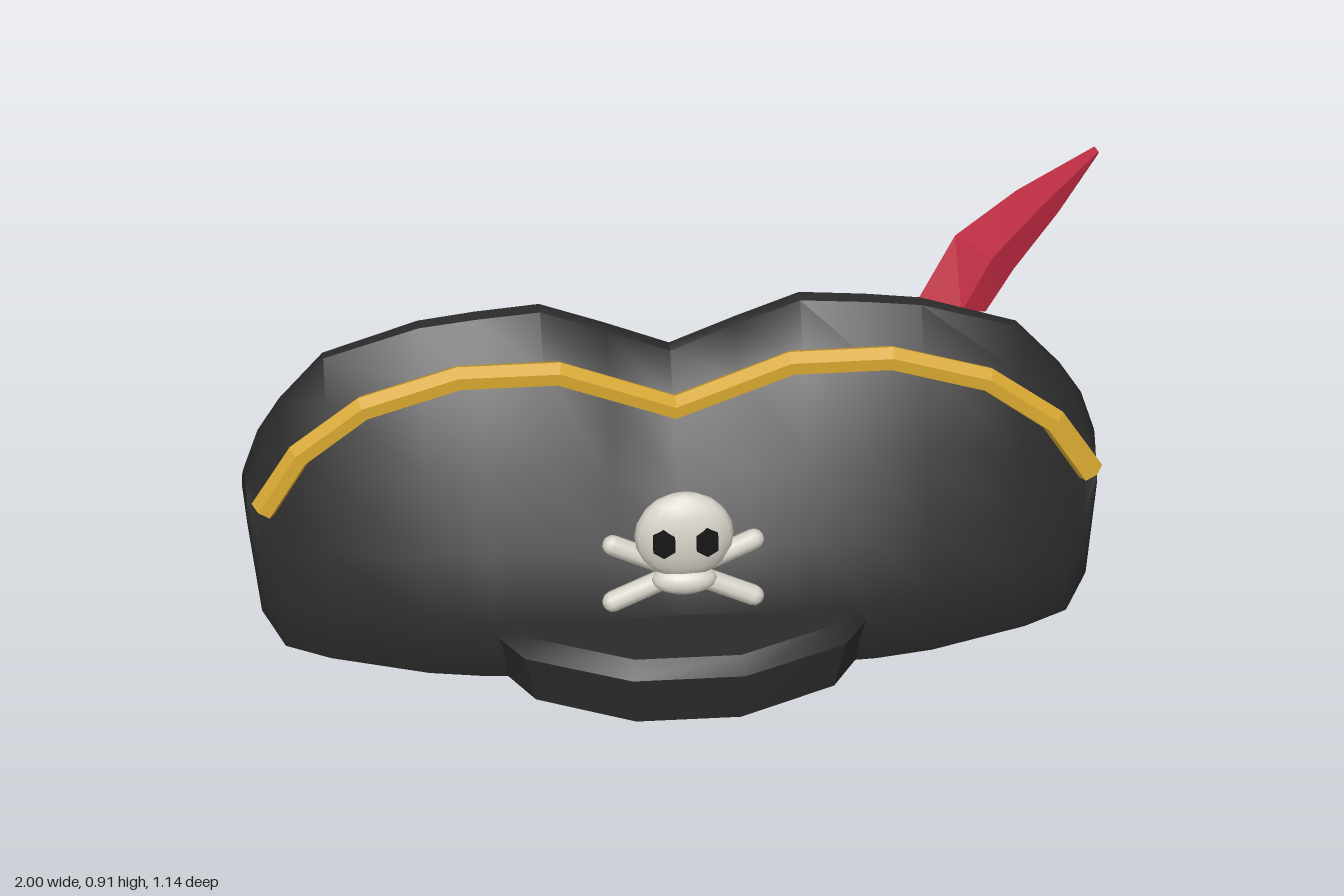
import * as THREE from 'three';
import { toCreasedNormals } from 'three/addons/utils/BufferGeometryUtils.js';

const mat = (name, color) => {
  const m = new THREE.MeshStandardMaterial({ color });
  m.name = name;
  return m;
};

// Skin equal-length rings of [x, y, z] points, cap both ends, face outwards
function loft(rings, crease) {
  const n = rings[0].length, pos = rings.flat(2), idx = [];
  rings.forEach((ring, i) => {
    if (i === rings.length - 1) return;
    for (let j = 0; j < n; j++) {
      const a = i * n + j, b = i * n + (j + 1) % n;
      idx.push(a, b, a + n, b, b + n, a + n);
    }
  });
  [0, rings.length - 1].forEach((r, end) => {
    const c = pos.length / 3;
    for (let k = 0; k < 3; k++) pos.push(rings[r].reduce((s, p) => s + p[k], 0) / n);
    for (let j = 0; j < n; j++) {
      const a = r * n + j, b = r * n + (j + 1) % n;
      if (end) idx.push(c, a, b); else idx.push(c, b, a);
    }
  });
  // Signed volume tells whether the winding must be flipped
  const P = i => new THREE.Vector3().fromArray(pos, i * 3);
  let vol = 0;
  for (let i = 0; i < idx.length; i += 3) vol += P(idx[i]).dot(P(idx[i + 1]).cross(P(idx[i + 2])));
  if (vol < 0) idx.reverse();
  const g = new THREE.BufferGeometry();
  g.setAttribute('position', new THREE.Float32BufferAttribute(pos, 3));
  g.setIndex(idx);
  return toCreasedNormals(g, crease);
}

export function createModel() {
  const felt = mat('black felt', 0x2b2b2b);
  const gold = mat('gold', 0xd4a52f);
  const bone = mat('bone white', 0xd8d4ca);
  const red = mat('feather red', 0xc22b42);
  const dark = mat('eye black', 0x161616);

  const model = new THREE.Group();
  model.name = 'hat';
  const hat = new THREE.Group();
  hat.name = 'hatBody';
  hat.position.x = -0.02;
  model.add(hat);
  const add = (name, geo, material, parent = hat) => {
    const m = new THREE.Mesh(geo, material);
    m.name = name;
    parent.add(m);
    return m;
  };
  // Mirror a half list of stations across x = 0
  const mirror = half => [...half.slice(1).reverse().map(([x, ...r]) => [-x, ...r]), ...half];

  // Crown: arched cross-sections at stations [x, bottom, top, depth]
  const stations = mirror([
    [0, 0, 0.66, 0.38], [0.15, 0, 0.725, 0.38], [0.3, 0, 0.785, 0.38], [0.45, 0, 0.772, 0.37],
    [0.58, 0, 0.755, 0.345], [0.8, 0, 0.68, 0.262], [0.9, 0, 0.56, 0.2],
    [0.95, 0.06, 0.475, 0.135], [0.98, 0.27, 0.37, 0.08],
  ]);
  const arch = [[0, 0.93], [0.08, 0.99], [0.22, 1], [0.41, 0.85], [0.63, 0.62], [0.88, 0.31], [1, 0.045]];
  const section = [...arch, ...arch.map(([y, z]) => [y, -z]).reverse()];
  add('crown', loft(stations.map(([x, b, t, d]) =>
    section.map(([y, z]) => [x, b + (t - b) * y, d * z])), 0.75), felt);

  // Brim: bevelled prism that stands out at the front and back
  const quarter = [[0.43, 0.36], [0.37, 0.46], [0.13, 0.57]];
  const front = [...quarter, ...quarter.map(([x, z]) => [-x, z]).reverse()];
  const outline = [...front, ...front.map(([x, z]) => [-x, -z])];
  const layers = [[0.002, 0.93, 0.975], [0.125, 1, 1], [0.166, 0.95, 0.95]];
  add('brim', loft(layers.map(([y, sx, sz]) =>
    outline.map(([x, z]) => [x * sx, y, z * sz])), 0.5), felt);

  // Trim: six-sided cord following the top edge
  const path = mirror([
    [0, 0.61, 0.17], [0.27, 0.714, 0.163], [0.5, 0.714, 0.163], [0.72, 0.65, 0.174],
    [0.87, 0.54, 0.192], [0.955, 0.405, 0.212],
  ]);
  add('trim', loft(path.map(([x, y, z], i) => {
    const p = path[Math.max(i - 1, 0)], q = path[Math.min(i + 1, path.length - 1)];
    const t = Math.atan2(q[1] - p[1], q[0] - p[0]);
    return Array.from({ length: 6 }, (_, k) => {
      const a = k * Math.PI / 3 + Math.PI / 6, s = 0.031 * Math.sin(a), c = 0.031 * Math.cos(a);
      return [x - Math.sin(t) * s, y + Math.cos(t) * s, z + c];
    });
  }), 0.1), gold);

  // Emblem: skull, jaw, eyes and crossed bones
  const emblem = new THREE.Group();
  emblem.name = 'emblem';
  hat.add(emblem);
  const ball = (name, r, p, s) => {
    const m = add(name, new THREE.SphereGeometry(r, 16, 10), bone, emblem);
    m.position.set(...p);
    m.scale.set(...s);
  };
  ball('skull', 0.115, [0, 0.425, 0.418], [1, 1, 0.45]);
  ball('jaw', 0.075, [0, 0.308, 0.427], [1, 0.48, 0.53]);
  for (const s of [-1, 1]) {
    const eye = add('eye', toCreasedNormals(new THREE.CylinderGeometry(0.034, 0.034, 0.03, 6), 0.1), dark, emblem);
    eye.rotation.x = Math.PI / 2;
    eye.scale.x = 0.85;
    eye.position.set(s * 0.05, 0.435, 0.464);
    const rod = add('crossBone', new THREE.CapsuleGeometry(0.025, 0.36, 3, 8), bone, emblem);
    rod.position.set(0, 0.307, 0.393);
    rod.rotation.z = s * 1.12;
  }

  // Feather: diamond sections, each [upper point, lower point, half thickness]
  const feather = [
    [[0.56, 0.7, -0.085], [0.72, 0.63, -0.125], 0.035],
    [[0.65, 0.84, -0.135], [0.79, 0.7, -0.19], 0.03],
    [[0.8, 0.885, -0.24], [0.9, 0.79, -0.28], 0.02],
    [[0.99, 0.91, -0.365], [1.0, 0.885, -0.372], 0.008],
  ];
  add('feather', loft(feather.map(([u, l, w]) => {
    const side = s => [0.55 * s * w, 0, 0.83 * s * w].map((d, k) => (u[k] + l[k]) / 2 + d);
    return [u, side(1), l, side(-1)];
  }), 0.1), red, model);

  return model;
}
